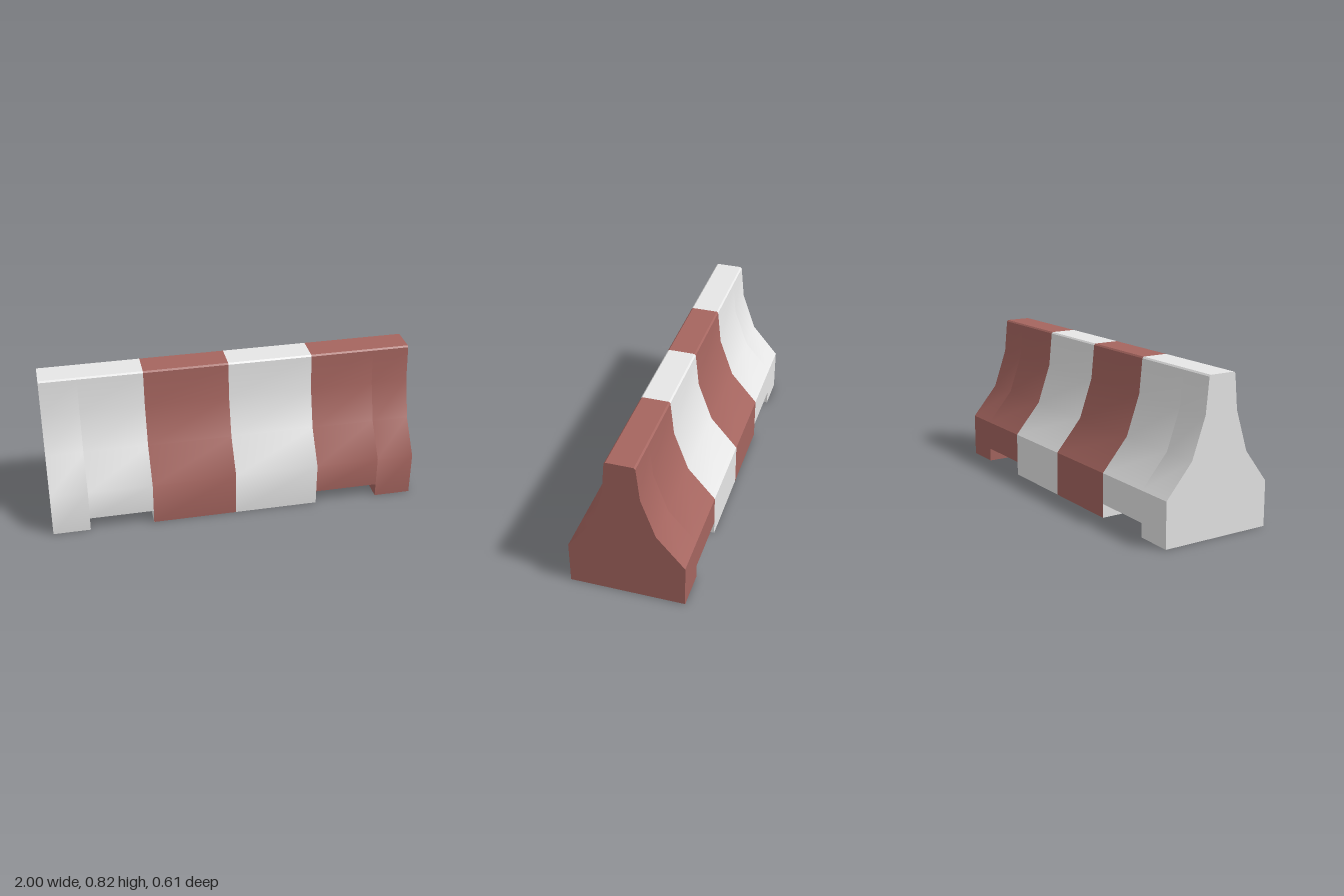
import * as THREE from 'three';
import { toCreasedNormals } from 'three/addons/utils/BufferGeometryUtils.js';

const white = new THREE.MeshStandardMaterial({ color: 0xe6e6e6 });
white.name = 'whitePaint';
const red = new THREE.MeshStandardMaterial({ color: 0xa5655f });
red.name = 'redPaint';

const HALF = 0.305, NOTCH = 0.075;

// Barrier cross-section as [z, y], from the front base over the top to the back base
const profile = (base) => [
  [HALF, base], [HALF, 0.24], [0.175, 0.413], [0.108, 0.627], [0.091, 0.81], [0.083, 0.818],
  [-0.057, 0.818], [-0.065, 0.81], [-0.083, 0.627], [-0.158, 0.413], [-HALF, 0.24], [-HALF, base],
];

// Closed sleeve of the cross-section between x0 and x1, without end caps
function sleeve(x0, x1, base) {
  const pts = profile(base), pos = [];
  pts.forEach(([z, y], i) => {
    const [z2, y2] = pts[(i + 1) % pts.length];
    pos.push(x0, y, z, x1, y, z, x1, y2, z2, x0, y, z, x1, y2, z2, x0, y2, z2);
  });
  const geo = new THREE.BufferGeometry();
  geo.setAttribute('position', new THREE.Float32BufferAttribute(pos, 3));
  return toCreasedNormals(geo, 0.68);
}

// Flat face at x, turned towards +x (dir 1) or -x (dir -1)
function cap(x, pts, dir) {
  const shape = new THREE.Shape(pts.map(([z, y]) => new THREE.Vector2(-dir * z, y)));
  return new THREE.ShapeGeometry(shape).rotateY(dir * Math.PI / 2).translate(x, 0, 0);
}

export function createModel() {
  const model = new THREE.Group();
  model.name = 'roadBarrier';
  const add = (name, geo, material) => {
    const mesh = new THREE.Mesh(geo, material);
    mesh.name = name;
    model.add(mesh);
  };

  // Painted stripes, raised off the ground along the two notches
  add('rightFoot', sleeve(-1, -0.8, 0), white);
  add('rightNotchStripe', sleeve(-0.8, -0.455, NOTCH), white);
  add('rightMiddleStripe', sleeve(-0.455, 0, 0), red);
  add('leftMiddleStripe', sleeve(0, 0.455, 0), white);
  add('leftNotchStripe', sleeve(0.455, 0.8, NOTCH), red);
  add('leftFoot', sleeve(0.8, 1, 0), red);

  // End faces
  add('rightEnd', cap(-1, profile(0), -1), white);
  add('leftEnd', cap(1, profile(0), 1), red);

  // Notch side walls
  const wall = [[HALF, 0], [HALF, NOTCH], [-HALF, NOTCH], [-HALF, 0]];
  add('rightNotchOuterWall', cap(-0.8, wall, 1), white);
  add('rightNotchInnerWall', cap(-0.455, wall, -1), white);
  add('leftNotchInnerWall', cap(0.455, wall, 1), white);
  add('leftNotchOuterWall', cap(0.8, wall, -1), red);

  return model;
}
